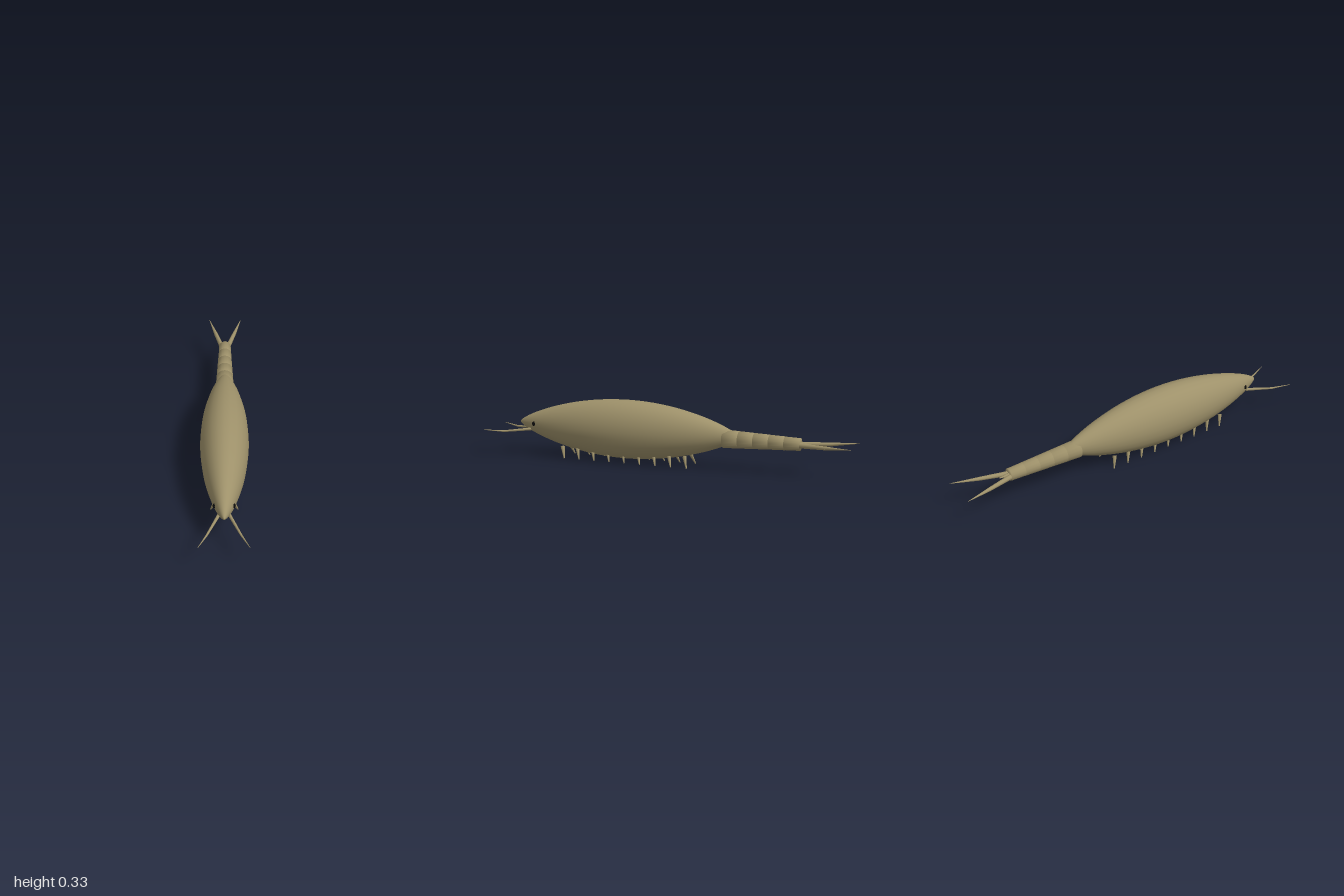
import * as THREE from 'three';

const shell = new THREE.MeshStandardMaterial({ color: 0x9e916a });
shell.name = 'khaki shell';
const dark = new THREE.MeshStandardMaterial({ color: 0x0c0c0c });
dark.name = 'eye black';

// Tapered chain of frustums through the given points
function limb(name, points, radii, sides = 8) {
  const group = new THREE.Group();
  group.name = name;
  for (let i = 0; i < points.length - 1; i++) {
    const a = new THREE.Vector3(...points[i]);
    const b = new THREE.Vector3(...points[i + 1]);
    const dir = b.clone().sub(a);
    const mesh = new THREE.Mesh(
      new THREE.CylinderGeometry(radii[i + 1], radii[i], dir.length(), sides), shell);
    mesh.name = name + 'Section';
    mesh.position.copy(a).add(b).multiplyScalar(0.5);
    mesh.quaternion.setFromUnitVectors(new THREE.Vector3(0, 1, 0), dir.normalize());
    group.add(mesh);
  }
  return group;
}

export function createModel() {
  const model = new THREE.Group();
  model.name = 'bristletail';

  // Spindle body, pointed at both ends
  const profile = [];
  const steps = 40;
  for (let i = 0; i <= steps; i++) {
    const t = (1 - Math.cos((Math.PI * i) / steps)) / 2;
    const r = Math.pow(Math.max(0, Math.sin(Math.PI * t)), 0.7);
    profile.push(new THREE.Vector2(i % steps ? r : 0, -0.4 + 1.24 * t));
  }
  const bodyGeo = new THREE.LatheGeometry(profile, 24);
  bodyGeo.rotateX(Math.PI / 2);
  bodyGeo.scale(0.122, 0.155, 1);
  const body = new THREE.Mesh(bodyGeo, shell);
  body.name = 'body';
  body.position.y = 0.171;
  model.add(body);

  // Five tail rings with softly shaded rims
  for (let i = 0; i < 5; i++) {
    const r = 0.048 - i * 0.0033;
    const ring = new THREE.LatheGeometry([
      new THREE.Vector2(0, -0.041), new THREE.Vector2(r * 0.93, -0.041),
      new THREE.Vector2(r, 0.041), new THREE.Vector2(0, 0.041),
    ], 16);
    ring.rotateX(Math.PI / 2);
    const mesh = new THREE.Mesh(ring, shell);
    mesh.name = 'tailRing' + (i + 1);
    mesh.position.set(0, 0.159, -0.36 - i * 0.08);
    model.add(mesh);
  }
  model.add(limb('tailFilament', [[0, 0.159, -0.71], [0, 0.16, -0.775]], [0.012, 0.002]));

  // Mirrored parts
  for (const [side, s] of [['left', 1], ['right', -1]]) {
    const eye = new THREE.Mesh(new THREE.SphereGeometry(0.012, 10, 8), dark);
    eye.name = side + 'Eye';
    eye.scale.set(0.7, 1, 0.75);
    eye.position.set(s * 0.046, 0.171, 0.738);
    model.add(eye);

    model.add(limb(side + 'Antenna',
      [[s * 0.025, 0.137, 0.765], [s * 0.08, 0.125, 0.9], [s * 0.12, 0.133, 1]],
      [0.008, 0.005, 0.001]));
    model.add(limb(side + 'TailProng',
      [[s * 0.011, 0.155, -0.7], [s * 0.053, 0.16, -0.86], [s * 0.09, 0.168, -1]],
      [0.014, 0.01, 0.001]));

    // Nine stubby legs
    for (let i = 0; i < 9; i++) {
      const z = 0.57 - i * 0.0863;
      model.add(limb(side + 'Leg' + (i + 1),
        [[s * 0.043, 0.06, z], [s * 0.067, 0.002, z - 0.02]], [0.011, 0.003]));
    }
  }
  return model;
}
